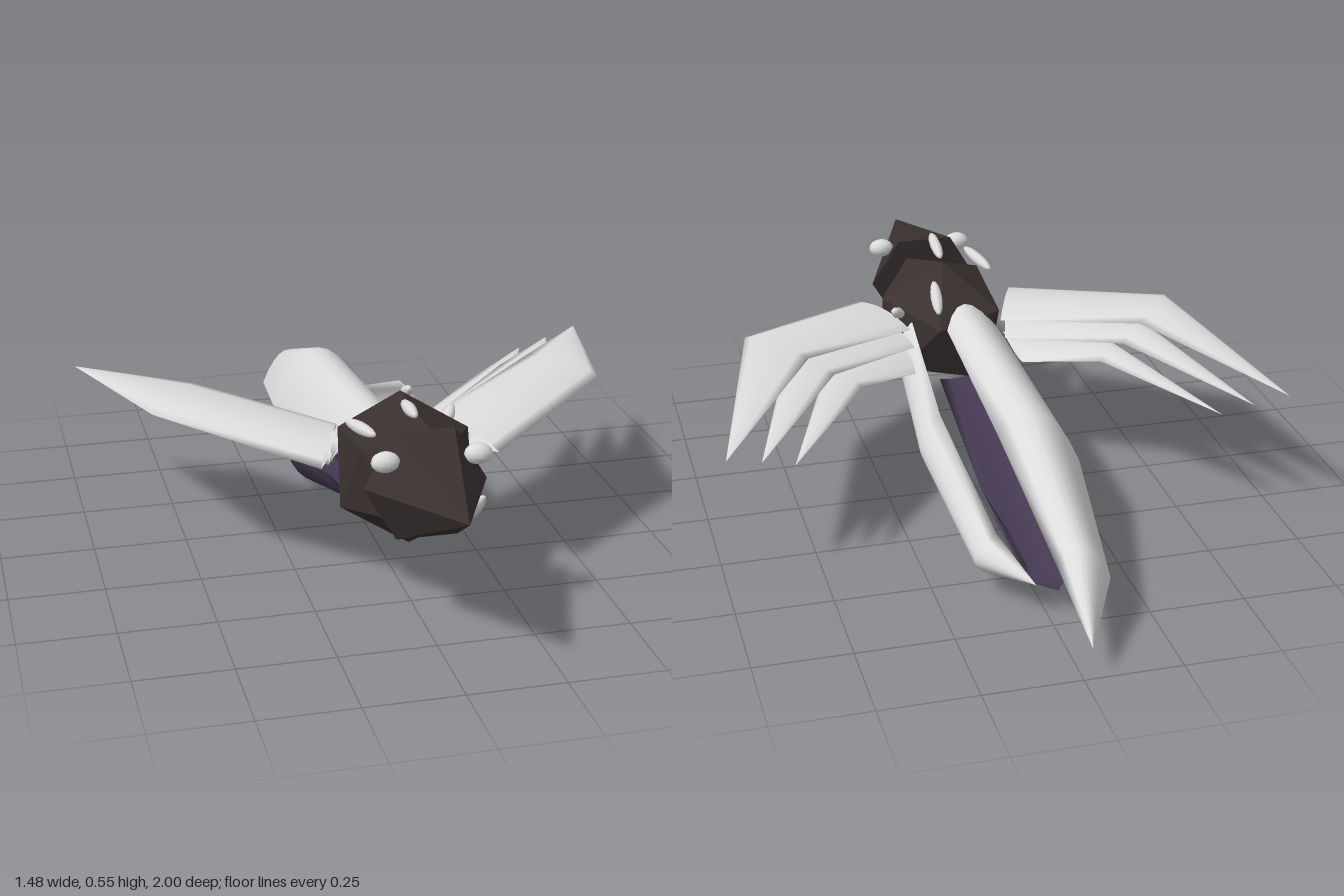
import * as THREE from 'three';

const plumage = new THREE.MeshStandardMaterial({ color: 0xdcdcdc, side: THREE.DoubleSide });
plumage.name = 'pale grey';
const shell = new THREE.MeshStandardMaterial({ color: 0x3a3130, flatShading: true });
shell.name = 'dark brown';
const violet = new THREE.MeshStandardMaterial({ color: 0x453a52, side: THREE.DoubleSide });
violet.name = 'dark violet';

function add(parent, name, geometry, material) {
  const mesh = new THREE.Mesh(geometry, material);
  mesh.name = name;
  parent.add(mesh);
  return mesh;
}

// Arc from a to b that passes through m
function arc(a, m, b) {
  const c = m.clone().multiplyScalar(2).addScaledVector(a, -0.5).addScaledVector(b, -0.5);
  return new THREE.QuadraticBezierCurve3(a, c, b);
}

// A blade closing to a tip: each row is edge, ridge, edge. The inner face's middle lies
// "depth" of the way from the ridge to the chord (2 mirrors the ridge, a full lens).
function blade(rows, tip, depth) {
  const n = 8, ring = 2 * n, pos = [], index = [];
  for (const row of [...rows, [tip, tip, tip]]) {
    const [a, m, b] = row.map((p) => new THREE.Vector3(...p));
    const inner = m.clone().lerp(a.clone().add(b).multiplyScalar(0.5), depth);
    const outerArc = arc(a, m, b), innerArc = arc(b, inner, a);
    for (let i = 0; i < n; i++) pos.push(...outerArc.getPoint(i / n).toArray());
    for (let i = 0; i < n; i++) pos.push(...innerArc.getPoint(i / n).toArray());
  }
  for (let r = 0; r < rows.length; r++) {
    for (let i = 0; i < ring; i++) {
      const a = r * ring + i, b = r * ring + (i + 1) % ring;
      index.push(a, b, a + ring);
      if (r < rows.length - 1) index.push(b, b + ring, a + ring);
    }
  }
  const g = new THREE.BufferGeometry();
  g.setAttribute('position', new THREE.Float32BufferAttribute(pos, 3));
  g.setIndex(index);
  g.computeVertexNormals();
  return g;
}

export function createModel() {
  const model = new THREE.Group();
  model.name = 'bird';

  // Faceted body, longer than wide
  const bodyGeometry = new THREE.IcosahedronGeometry(0.192, 0);
  bodyGeometry.rotateZ(-0.5536).rotateX(-0.2).scale(1, 1, 1.28);
  const body = add(model, 'body', bodyGeometry, shell);
  body.position.set(0, 0.342, 0.425);

  // Six-sided pointed head
  const base = new THREE.Vector3(0, 0.38, 0.625), beak = new THREE.Vector3(0, 0.435, 1);
  const axis = beak.clone().sub(base);
  const headGeometry = new THREE.ConeGeometry(0.155, axis.length(), 6);
  headGeometry.rotateY(Math.PI / 2);
  const head = add(model, 'head', headGeometry, shell);
  head.position.copy(base).add(beak).multiplyScalar(0.5);
  head.quaternion.setFromUnitVectors(new THREE.Vector3(0, 1, 0), axis.normalize());

  // Eyes
  for (const s of [1, -1]) {
    const eye = add(model, s > 0 ? 'leftEye' : 'rightEye', new THREE.SphereGeometry(1, 12, 8), plumage);
    eye.position.set(s * 0.115, 0.47, 0.68);
    eye.scale.set(0.036, 0.026, 0.026);
  }

  // Small slim quills on the body: centre, direction, half length
  const quills = [
    [[-0.01, 0.53, 0.505], [0.05, -0.12, -1], 0.075],
    [[-0.13, 0.485, 0.49], [-0.25, -0.1, -1], 0.078],
    [[0.16, 0.255, 0.525], [-0.1, -1, -1], 0.075],
    [[0.05, 0.475, 0.25], [0.1, -0.55, -1], 0.06],
    [[0.15, 0.42, 0.3], [0.5, 0.5, -0.8], 0.04],
  ];
  quills.forEach(([p, d, h], i) => {
    const quill = add(model, 'quill' + (i + 1), new THREE.SphereGeometry(1, 8, 8), plumage);
    quill.position.set(...p);
    quill.scale.set(0.016, h, 0.016);
    quill.quaternion.setFromUnitVectors(new THREE.Vector3(0, 1, 0), new THREE.Vector3(...d).normalize());
  });

  // Three overlapping feathers per wing: leading edge, ridge, trailing edge
  const feathers = [
    { rows: [[[0.23, 0.385, 0.49], [0.18, 0.412, 0.36], [0.13, 0.395, 0.23]],
             [[0.6, 0.445, 0.18], [0.54, 0.467, 0.09], [0.46, 0.45, -0.01]]], tip: [0.74, 0.38, -0.41] },
    { rows: [[[0.19, 0.355, 0.4], [0.16, 0.38, 0.29], [0.13, 0.363, 0.18]],
             [[0.5, 0.41, 0.11], [0.46, 0.43, 0.03], [0.4, 0.414, -0.05]]], tip: [0.65, 0.357, -0.395] },
    { rows: [[[0.16, 0.325, 0.31], [0.15, 0.348, 0.2], [0.15, 0.335, 0.07]],
             [[0.4, 0.37, 0.08], [0.37, 0.393, 0.01], [0.33, 0.378, -0.07]]], tip: [0.565, 0.335, -0.385] },
  ];
  for (const s of [1, -1]) {
    const wing = new THREE.Group();
    wing.name = s > 0 ? 'leftWing' : 'rightWing';
    const flip = ([x, y, z]) => [s * x, y, z];
    feathers.forEach(({ rows, tip }, i) => {
      add(wing, 'wingFeather' + (i + 1), blade(rows.map((r) => r.map(flip)), flip(tip), 2), plumage);
    });
    model.add(wing);
  }

  // Three tail petals set around the tail axis
  add(model, 'upperTailPetal', blade([
    [[-0.16, 0.31, 0.28], [-0.06, 0.43, 0.28], [0.03, 0.4, 0.28]],
    [[-0.185, 0.235, -0.35], [-0.075, 0.39, -0.36], [0.035, 0.335, -0.35]],
    [[-0.13, 0.14, -0.79], [-0.06, 0.235, -0.8], [0.01, 0.2, -0.79]],
  ], [-0.02, 0.085, -1], 0.3), plumage);
  add(model, 'leftTailPetal', blade([
    [[0.08, 0.22, 0.3], [0.155, 0.29, 0.3], [0.11, 0.39, 0.3]],
    [[0.12, 0.145, -0.2], [0.205, 0.235, -0.2], [0.15, 0.335, -0.2]],
    [[0.13, 0.07, -0.57], [0.155, 0.12, -0.58], [0.1, 0.18, -0.58]],
  ], [0.04, 0.11, -0.73], 0.3), plumage);
  add(model, 'lowerTailPetal', blade([
    [[-0.16, 0.28, 0.3], [-0.09, 0.2, 0.3], [0.03, 0.2, 0.3]],
    [[-0.18, 0.155, -0.19], [-0.1, 0.055, -0.19], [0.035, 0.09, -0.19]],
    [[-0.13, 0.065, -0.54], [-0.075, 0.01, -0.55], [0.005, 0.005, -0.54]],
  ], [-0.02, 0.08, -0.72], 0.3), violet);

  return model;
}
